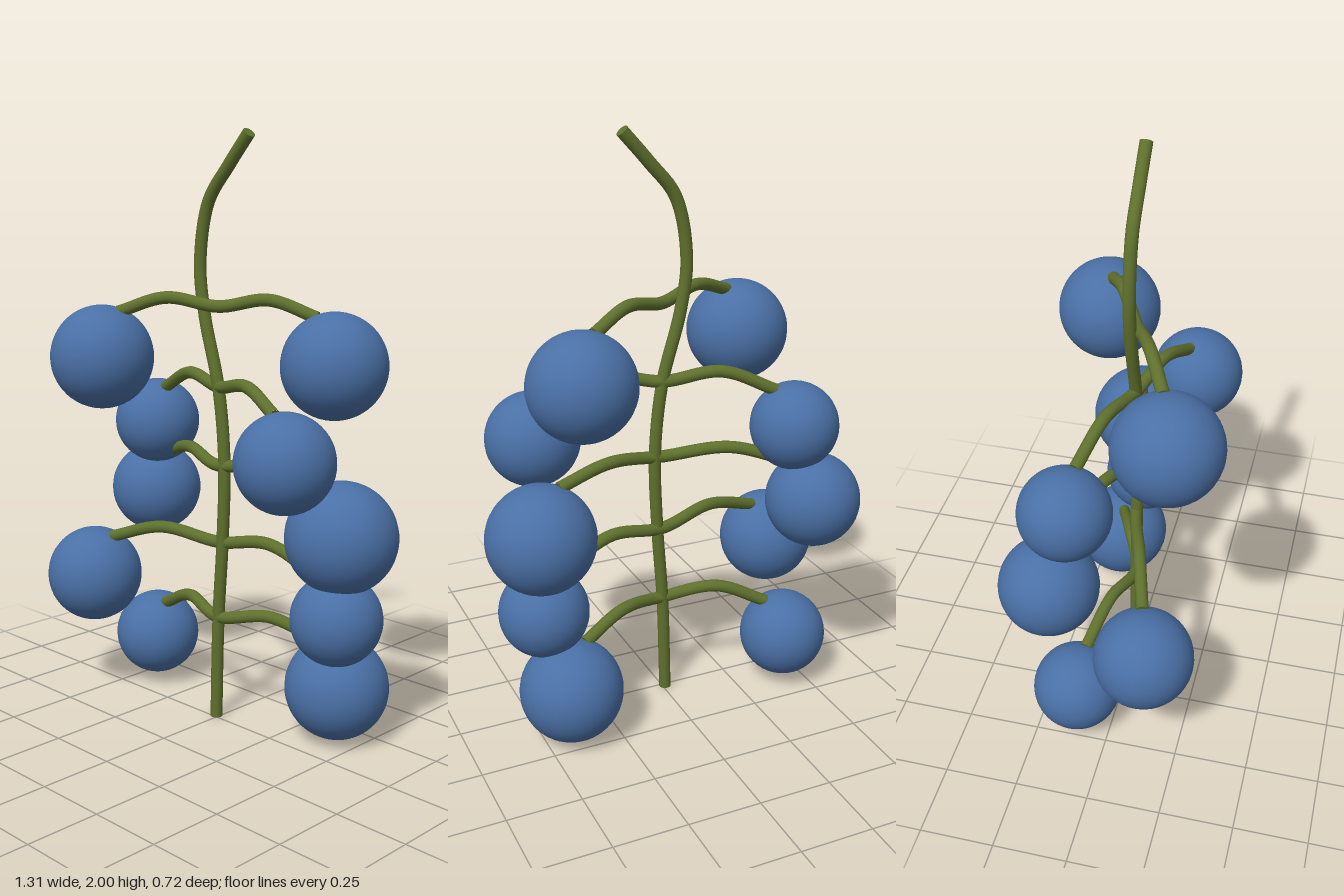
import * as THREE from 'three';

const stemGreen = new THREE.MeshStandardMaterial({ color: 0x5f702d });
stemGreen.name = 'stem green';
const berryBlue = new THREE.MeshStandardMaterial({ color: 0x4a70a6 });
berryBlue.name = 'berry blue';

const RADIUS = 0.021;
const AXIS_Z = -0.01;

// Round stalk through the given points, closed by a disc at each end
function stalk(name, points, segments) {
  const group = new THREE.Group();
  group.name = name;
  const curve = new THREE.CatmullRomCurve3(points.map((p) => new THREE.Vector3(...p)));
  const tube = new THREE.Mesh(new THREE.TubeGeometry(curve, segments, RADIUS, 14), stemGreen);
  tube.name = name + 'Tube';
  group.add(tube);
  for (const [t, sign] of [[0, -1], [1, 1]]) {
    const cap = new THREE.Mesh(new THREE.CircleGeometry(RADIUS, 14), stemGreen);
    cap.name = name + 'Cap';
    cap.position.copy(curve.getPointAt(t));
    cap.quaternion.setFromUnitVectors(
      new THREE.Vector3(0, 0, 1), curve.getTangentAt(t).multiplyScalar(sign));
    group.add(cap);
  }
  return group;
}

export function createModel() {
  const model = new THREE.Group();
  model.name = 'berryCluster';

  // Main stem, bending in the x-y plane
  const stemLine = [
    [-0.01, 0.002], [0, 0.36], [0.02, 0.65], [0.027, 0.92], [0, 1.16],
    [-0.065, 1.4], [-0.086, 1.57], [-0.047, 1.77], [0.045, 1.885], [0.135, 1.985],
  ];
  model.add(stalk('mainStem', stemLine.map(([x, y]) => [x, y, AXIS_Z]), 90));

  // Tiers: branch height, berry height, then [x, z, radius] of the two berries
  const tiers = [
    { node: 1.432, y: 1.25, berries: [[-0.373, 0.178, 0.177], [0.35, -0.187, 0.176]] },
    { node: 1.165, y: 0.985, berries: [[-0.437, -0.133, 0.152], [0.413, 0.118, 0.16]] },
    { node: 0.898, y: 0.72, berries: [[-0.494, -0.178, 0.164], [0.468, -0.094, 0.183]] },
    { node: 0.632, y: 0.45, berries: [[-0.487, 0.133, 0.168], [0.463, -0.082, 0.151]] },
    { node: 0.365, y: 0.182, berries: [[-0.428, -0.117, 0.152], [0.403, -0.163, 0.174]] },
  ];

  for (const { node, y, berries } of tiers) {
    // Branch arches up on each side and droops onto its berries
    const [a, b] = berries.map(([x, z, r]) => {
      const dz = z - AXIS_Z;
      return {
        end: [x * 0.85, y + r - 0.022, AXIS_Z + dz * 0.85],
        arch: [x * 0.44, node + 0.025, AXIS_Z + dz * 0.44],
      };
    });
    model.add(stalk('branch', [a.end, a.arch, [0, node, AXIS_Z], b.arch, b.end], 48));

    for (const [x, z, r] of berries) {
      const berry = new THREE.Mesh(new THREE.SphereGeometry(r, 40, 28), berryBlue);
      berry.name = x > 0 ? 'leftBerry' : 'rightBerry';
      berry.position.set(x, y, z);
      model.add(berry);
    }
  }
  return model;
}
